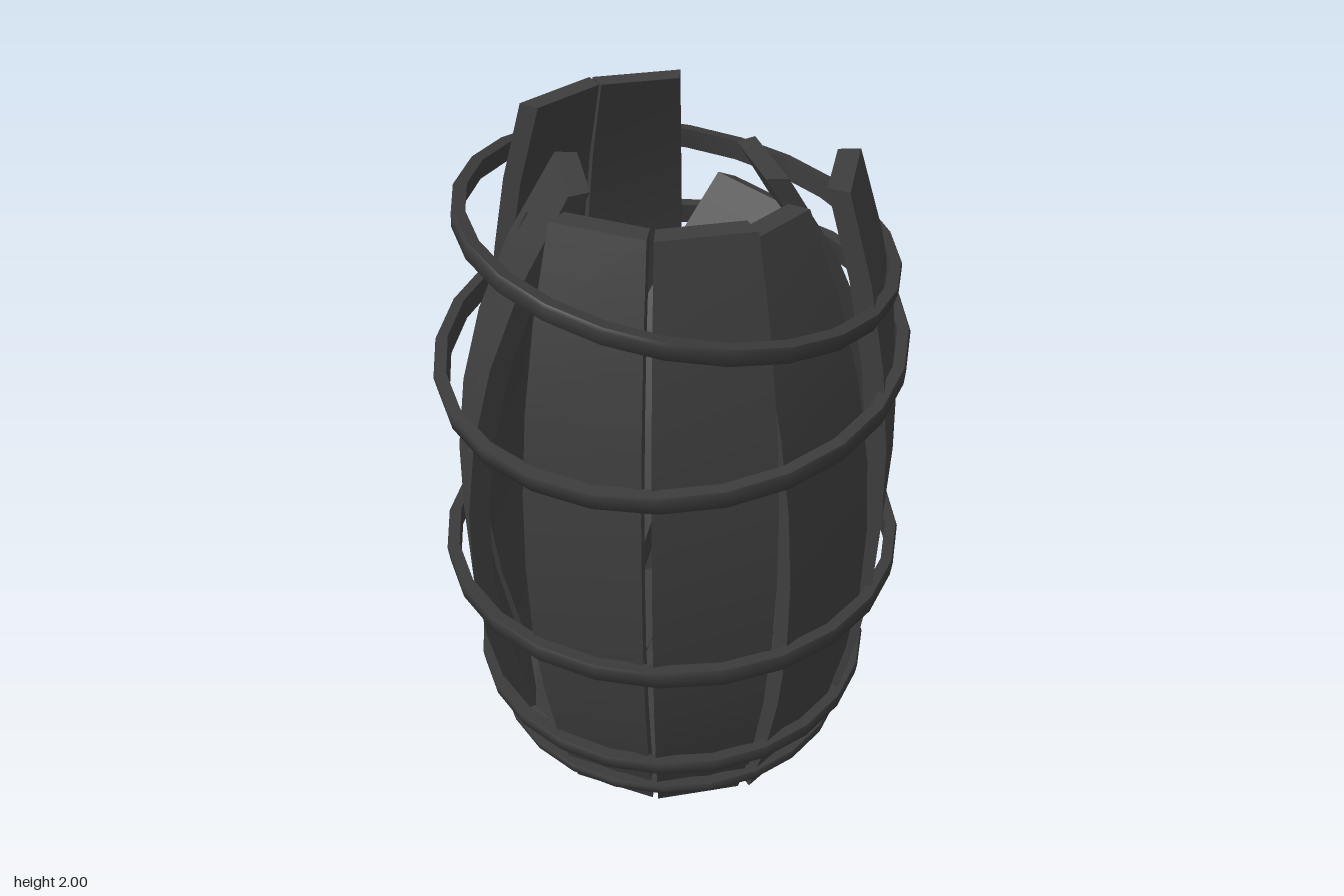
import * as THREE from 'three';
import { toCreasedNormals } from 'three/addons/utils/BufferGeometryUtils.js';

const DEG = Math.PI / 180;
const wood = new THREE.MeshStandardMaterial({ color: 0x3e3e3e });
const iron = new THREE.MeshStandardMaterial({ color: 0x3a3a3a });

const FOOT = 0.435;      // inner radius of a stave at its foot
const THICK = 0.06;

// outer radius of the barrel at height t (0..1)
function bulge(t) {
  return 0.495 + 0.165 * (1 - Math.pow(Math.abs(2 * t - 1), 2.1));
}

// bowed plank, its origin at the inner edge of its foot, outside facing +z;
// bend pulls its upper end inward
function staveGeometry(length, bend) {
  const g = new THREE.BoxGeometry(1, 1, 1, 1, 8, 1);
  const p = g.attributes.position;
  for (let i = 0; i < p.count; i++) {
    const y = (p.getY(i) + 0.5) * length, t = y / 2;
    const outer = bulge(t);
    const r = p.getZ(i) > 0 ? outer : outer - THICK;
    const x = Math.sign(p.getX(i)) * r * Math.tan(15 * DEG) * 0.98;
    p.setXYZ(i, x, y, r - FOOT - bend * t ** 3);
  }
  return toCreasedNormals(g, 0.6);
}

// hoop of rounded section, slightly wider at its top edge
function hoop(name, radius, height, y, slopeX = 0, slopeZ = 0, x = 0, z = 0) {
  const h = height / 2, c = 0.01, inner = radius - 0.038;
  const profile = [
    [inner, -h], [radius - 2 * c, -h], [radius - c / 2, -h + c], [radius, h - c],
    [radius - c / 2, h], [inner, h], [inner, -h],
  ].map(([a, b]) => new THREE.Vector2(a, b));
  const mesh = new THREE.Mesh(toCreasedNormals(new THREE.LatheGeometry(profile, 24), 0.9), iron);
  mesh.name = name;
  mesh.position.set(x, y, z);
  // tip the hoop so its height follows the given slopes
  const normal = new THREE.Vector3(-slopeX, 1, -slopeZ).normalize();
  mesh.quaternion.setFromUnitVectors(new THREE.Vector3(0, 1, 0), normal);
  return mesh;
}

// floor of parallel boards with straight-cut ends
function floorBoards() {
  const group = new THREE.Group();
  group.name = 'floor';
  const R = 0.535, cuts = [-0.49, -0.295, -0.095, 0.095, 0.295, 0.49], gap = 0.001;
  const edge = x => Math.sqrt(R * R - x * x);
  for (let i = 0; i < cuts.length - 1; i++) {
    const a = cuts[i] + gap, b = cuts[i + 1] - gap;
    const outline = [[a, -edge(a)], [b, -edge(b)], [b, edge(b)], [a, edge(a)]]
      .map(([x, y]) => new THREE.Vector2(x, y));
    const g = new THREE.ExtrudeGeometry(new THREE.Shape(outline), { depth: 0.05, bevelEnabled: false });
    g.rotateX(-Math.PI / 2);
    const board = new THREE.Mesh(g, wood);
    board.name = 'floorBoard';
    board.position.y = 0.06;
    group.add(board);
  }
  return group;
}

export function createModel() {
  const model = new THREE.Group();
  model.name = 'brokenBarrel';

  // staves: angle, length, twist, bend, lean; two are missing at the back
  const staves = [
    { name: 'stave', angle: -3.5 },
    { name: 'stave', angle: 27.5, twist: 2 },
    { name: 'bentStave', angle: 60, length: 1.92, twist: 5, bend: 0.14 },
    { name: 'stave', angle: 91.5, twist: 5 },
    { name: 'bentStave', angle: 125, length: 1.93, bend: 0.26 },
    { name: 'stave', angle: 210 },
    { name: 'stave', angle: 240, twist: 2 },
    { name: 'bentStave', angle: 266, length: 1.8, twist: 3, bend: 0.24 },
    { name: 'bentStave', angle: 299, length: 1.95, bend: 0.23 },
    { name: 'fallenStave', angle: 330, length: 1.92, lean: 25.2 },
  ];
  for (const { name, angle, length = 2, twist = 0, bend = 0, lean = 0 } of staves) {
    const pivot = new THREE.Group();
    pivot.name = name;
    pivot.rotation.y = angle * DEG;
    const mesh = new THREE.Mesh(staveGeometry(length, bend), wood);
    mesh.name = 'stavePlank';
    mesh.position.z = FOOT;
    mesh.rotation.set(-lean * DEG, twist * DEG, 0);
    pivot.add(mesh);
    model.add(pivot);
  }

  model.add(floorBoards());

  // three tight hoops below, two slipped ones above
  model.add(
    hoop('bottomHoop', 0.575, 0.042, 0.1),
    hoop('lowerHoop', 0.628, 0.055, 0.255),
    hoop('middleHoop', 0.705, 0.066, 0.705),
    hoop('upperSlippedHoop', 0.685, 0.066, 1.395, 0.025, -0.12, 0, 0.012),
    hoop('topSlippedHoop', 0.628, 0.06, 1.745, -0.165, 0.05, 0.015, -0.01),
  );
  return model;
}
